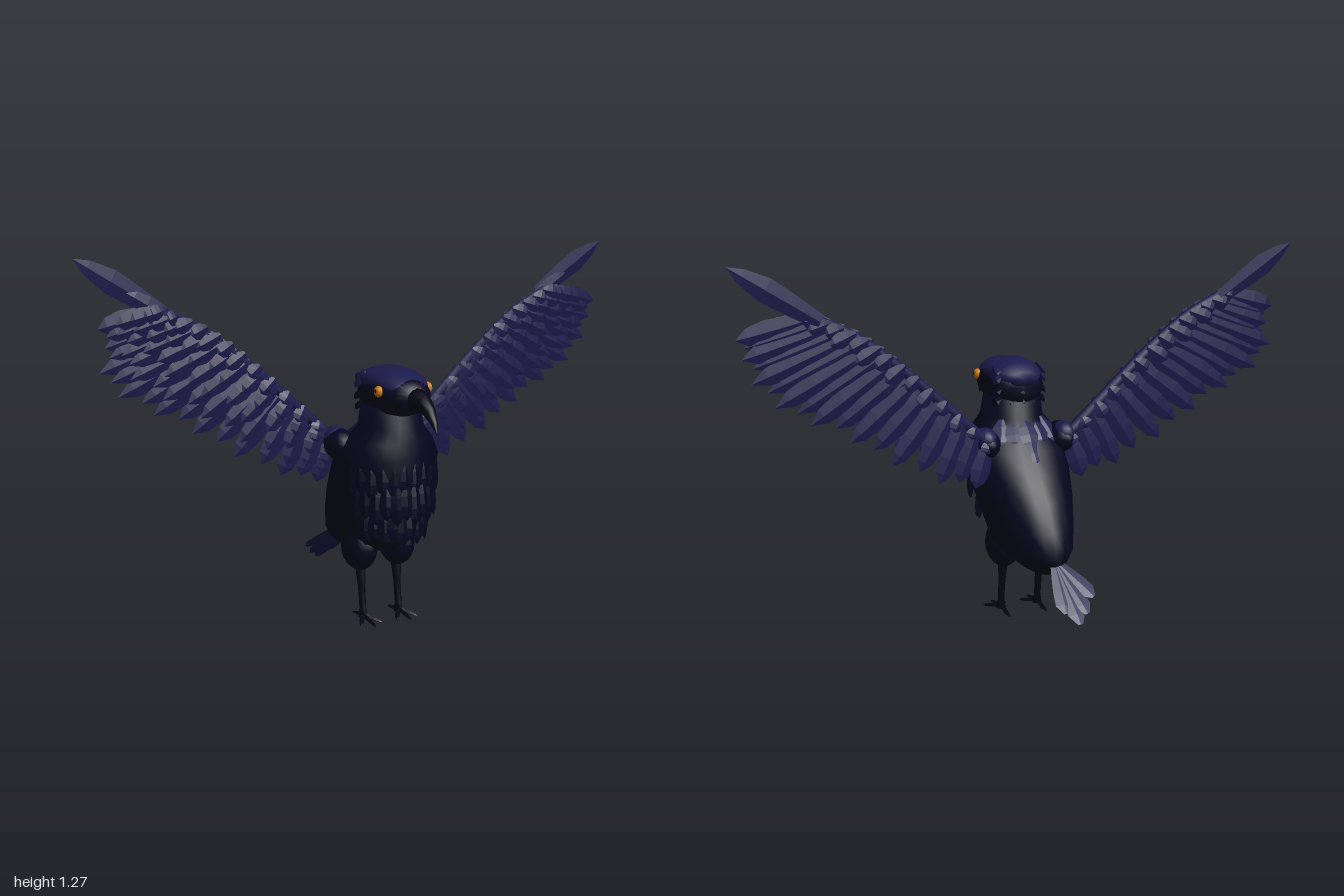
import * as THREE from 'three';
import { mergeGeometries } from 'three/addons/utils/BufferGeometryUtils.js';

const V = (x, y, z) => new THREE.Vector3(x, y, z);
const mat = (name, color) => {
  const m = new THREE.MeshStandardMaterial({ color });
  m.name = name;
  return m;
};

// Skin over elliptical rings [position, offset, halfWidth, halfDepth] along +z
function loft(rings, sides) {
  const pos = [], idx = [], n = rings.length;
  for (const [p, off, rx, ry] of rings)
    for (let j = 0; j < sides; j++) {
      const t = (j / sides) * Math.PI * 2;
      pos.push(rx * Math.cos(t), off + ry * Math.sin(t), p);
    }
  for (let i = 0; i < n - 1; i++)
    for (let j = 0; j < sides; j++) {
      const k = (j + 1) % sides, a = i * sides, b = a + sides;
      idx.push(a + j, a + k, b + j, a + k, b + k, b + j);
    }
  const first = pos.length / 3, e = (n - 1) * sides;
  for (const r of [rings[0], rings[n - 1]]) pos.push(0, r[1], r[0]);
  for (let j = 0; j < sides; j++) {
    const k = (j + 1) % sides;
    idx.push(first, k, j, first + 1, e + j, e + k);
  }
  const g = new THREE.BufferGeometry();
  g.setAttribute('position', new THREE.Float32BufferAttribute(pos, 3));
  g.setIndex(idx);
  g.computeVertexNormals();
  return g;
}

// Same, stacked upward; offset is then the z of the ring centre
const loftUp = (rings, sides) =>
  loft(rings.map(([p, o, a, b]) => [p, -o, a, b]), sides).rotateX(-Math.PI / 2);

function flat(g) {
  const f = g.toNonIndexed();
  f.computeVertexNormals();
  return f;
}

// Flat-faceted blade from a to b, thin along the normal
function blade(a, b, width, thick, normal = V(0, 0, 1), profile = [0.3, 0.8, 1, 0.75, 0.04]) {
  const dir = b.clone().sub(a), len = dir.length();
  dir.normalize();
  const x = normal.clone().cross(dir).normalize();
  const y = dir.clone().cross(x);
  const at = [0, 0.3, 0.6, 0.85, 1];
  const g = flat(loft(profile.map((w, i) => [at[i] * len, 0, (w * width) / 2, (w * thick) / 2]), 4));
  return g.applyMatrix4(new THREE.Matrix4().makeBasis(x, y, dir).setPosition(a));
}

export function createModel() {
  const bird = new THREE.Group();
  bird.name = 'bird';
  const body = mat('darkPlumage', 0x04041e);
  const feather = mat('blueFeather', 0x1b1b4b);
  const horn = mat('beakAndLegs', 0x040412);
  const amber = mat('amberEye', 0xc87a10);
  const black = mat('pupil', 0x040406);
  const add = (name, geo, m, parent = bird) => {
    const mesh = new THREE.Mesh(geo, m);
    mesh.name = name;
    parent.add(mesh);
  };
  const ellipsoid = (x, y, z, a, b, c) =>
    new THREE.SphereGeometry(1, 16, 12).scale(a, b, c).translate(x, y, z);

  // Torso and neck
  add('torso', loftUp([
    [0.215, -0.2, 0.04, 0.03], [0.235, -0.16, 0.075, 0.085], [0.255, -0.09, 0.1, 0.18],
    [0.29, -0.06, 0.125, 0.22], [0.36, -0.03, 0.142, 0.23], [0.45, 0.02, 0.162, 0.23],
    [0.53, 0.055, 0.173, 0.2], [0.6, 0.08, 0.178, 0.17], [0.65, 0.105, 0.15, 0.14],
    [0.7, 0.115, 0.108, 0.12], [0.77, 0.11, 0.098, 0.11]], 24), body);

  // Head, crown and beak
  add('head', loft([
    [0, 0.805, 0.06, 0.045], [0.04, 0.81, 0.088, 0.075], [0.12, 0.81, 0.098, 0.085],
    [0.2, 0.812, 0.096, 0.076], [0.26, 0.812, 0.07, 0.055], [0.295, 0.808, 0.042, 0.039]], 20), body);
  add('crown', loft([
    [-0.005, 0.84, 0.05, 0.025], [0.04, 0.847, 0.083, 0.043], [0.09, 0.851, 0.092, 0.048],
    [0.15, 0.852, 0.092, 0.047], [0.2, 0.847, 0.087, 0.044], [0.24, 0.84, 0.071, 0.036],
    [0.27, 0.833, 0.05, 0.027], [0.292, 0.826, 0.025, 0.018]], 20), feather);
  add('beak', loft([
    [0.265, 0.81, 0.046, 0.044], [0.3, 0.808, 0.037, 0.039], [0.345, 0.801, 0.027, 0.03],
    [0.385, 0.775, 0.018, 0.024], [0.41, 0.745, 0.01, 0.016], [0.422, 0.72, 0.002, 0.003]], 12), horn);

  // Ragged tufts at the back of the crown and nape
  for (const [name, m, rows] of [
    ['crownTufts', feather, [[0.865, -0.005, 5], [0.84, -0.01, 6]]],
    ['napeTufts', body, [[0.8, -0.012, 5], [0.765, -0.005, 5]]]]) {
    const tufts = [];
    for (const [y, z, n] of rows)
      for (let i = 0; i < n; i++) {
        const u = (i / (n - 1)) * 2 - 1;
        tufts.push(blade(V(u * 0.078, y + 0.012, 0.08), V(u * 0.085, y - 0.01, z + Math.abs(u) * 0.025),
          0.045, 0.02, V(u, 0.7, -0.3).normalize()));
      }
    add(name, mergeGeometries(tufts), m);
  }

  // Hanging breast feathers: [top y, tip y, arc centre z, rx, rz, half arc, count]
  const breast = [];
  for (const [top, tip, zc, rx, rz, arc, n] of [
    [0.6, 0.47, 0.07, 0.172, 0.182, 1.2, 12], [0.52, 0.385, 0.05, 0.165, 0.212, 1.1, 12],
    [0.43, 0.305, 0.02, 0.148, 0.212, 0.9, 10]])
    for (let i = 0; i < n; i++) {
      const t = ((i / (n - 1)) * 2 - 1) * arc, s = Math.sin(t), c = Math.cos(t);
      breast.push(blade(V(s * rx * 0.98, top, zc + c * rz * 0.96),
        V(s * rx, tip + (i % 2) * 0.018, zc + c * rz), 0.052, 0.02, V(s, 0, c)));
    }
  add('breastFeathers', mergeGeometries(breast), body);

  // Broad mantle feathers over the upper back
  const mantle = [];
  for (let row = 0; row < 2; row++)
    for (let i = -2; i <= 2; i++) {
      const x = i * 0.045, bend = Math.abs(i) * 0.012;
      mantle.push(blade(V(x * 0.8, 0.7 - row * 0.05, 0.0 - row * 0.035 + bend),
        V(x * 1.1, 0.62 - row * 0.06, -0.072 - row * 0.045 + bend * 1.6), 0.07, 0.018,
        V(x * 3, 0.6, -0.8).normalize()));
    }
  add('mantleFeathers', mergeGeometries(mantle), feather);

  // Tail fan, carried slightly to one side
  const tail = [[-0.1, 0.165, -0.355], [-0.06, 0.125, -0.395], [-0.025, 0.1, -0.418], [0.012, 0.13, -0.385]]
    .map((p) => blade(V(-0.005, 0.27, -0.24), V(...p), 0.06, 0.01, V(0, 0.7, -0.72), [0.4, 0.7, 0.95, 1, 0.3]));
  add('tail', mergeGeometries(tail), feather);

  for (const s of [1, -1]) {
    const side = s > 0 ? 'left' : 'right';

    // Eye
    const eye = new THREE.Group();
    eye.name = side + 'Eye';
    bird.add(eye);
    add('iris', ellipsoid(s * 0.092, 0.83, 0.2, 0.014, 0.019, 0.019), amber, eye);
    add('pupil', ellipsoid(s * 0.102, 0.832, 0.202, 0.005, 0.007, 0.007), black, eye);

    // Leg: thigh, shank, toes
    const leg = new THREE.Group();
    leg.name = side + 'Leg';
    bird.add(leg);
    add('thigh', ellipsoid(s * 0.073, 0.26, 0.02, 0.057, 0.082, 0.085), body, leg);
    add('shank', loftUp([[0.012, 0.045, 0.018, 0.018], [0.04, 0.043, 0.012, 0.013],
      [0.12, 0.033, 0.013, 0.014], [0.21, 0.022, 0.02, 0.024]], 8).translate(s * 0.07, 0, 0), horn, leg);
    const toes = [[0, 0.14], [-0.042, 0.11], [0.042, 0.11], [0, -0.037]].map(([x, z]) =>
      blade(V(s * 0.07, 0.021, 0.045), V(s * 0.07 + x, 0.004, z), 0.022, 0.016, V(0, 1, 0), [1, 0.8, 0.8, 0.55, 0.05]));
    add('toes', mergeGeometries(toes), horn, leg);

    // Wing: leading and trailing curves, feathers strung between them
    const wing = new THREE.Group();
    wing.name = side + 'Wing';
    bird.add(wing);
    const sweep = s > 0 ? 0.06 : 0.035, out = s > 0 ? 0.985 : 0.93;
    const curve = (pts) => new THREE.CatmullRomCurve3(
      pts.map(([x, y]) => V(s * x, y, -0.025 - sweep * x)));
    const lead = curve([[0.15, 0.64], [0.32, 0.8], [0.48, 0.94], [0.61, 1.035], [0.74, 1.1]]);
    const trail = curve([[0.2, 0.49], [0.35, 0.53], [0.54, 0.63], [0.69, 0.73], [0.83, 0.8],
      [0.93, 0.89], [out - 0.02, 0.98], [out, 1.05]]);
    add('shoulder', ellipsoid(s * 0.14, 0.625, 0.01, 0.05, 0.055, 0.075), body, wing);
    add('shoulderCap', ellipsoid(s * 0.145, 0.645, -0.01, 0.04, 0.04, 0.05), feather, wing);
    add('arm', new THREE.TubeGeometry(lead, 20, 0.018, 7), feather, wing);

    // Rows: [name, count, start fraction, end fraction, width, z offset]
    for (const [name, n, from, to, w, dz] of [
      ['flightFeathers', 17, 0, 1, 0.076, -0.018], ['greaterCoverts', 16, 0, 0.8, 0.066, 0],
      ['medianCoverts', 14, 0, 0.58, 0.064, 0.01], ['lesserCoverts', 14, -0.04, 0.36, 0.06, 0.018],
      ['marginalCoverts', 13, -0.07, 0.18, 0.055, 0.022], ['backCoverts', 14, -0.05, 0.22, 0.055, -0.026]]) {
      const parts = [];
      for (let i = 0; i < n; i++) {
        const t = i / (n - 1), a = lead.getPoint(t), b = trail.getPoint(t);
        const reach = to - (i % 2) * 0.07;
        const p = a.clone().lerp(b, from), q = a.clone().lerp(b, reach);
        p.z += dz * 0.6;
        q.z += dz + (i % 2) * 0.004;
        parts.push(blade(p, q, w, 0.014, V(s * 0.12, 0, 1).normalize()));
      }
      add(name, mergeGeometries(parts), feather, wing);
    }

    // Long outermost feathers
    const zt = -0.035 - sweep;
    add('wingTip', mergeGeometries([
      blade(V(s * 0.68, 1.06, zt + 0.012), V(s * 0.84, 1.16, zt + 0.01), 0.06, 0.014),
      blade(V(s * 0.72, 1.09, zt), V(s, 1.27, zt), 0.08, 0.014, V(0, 0, 1), [0.6, 0.85, 1, 0.6, 0.03])]), feather, wing);
  }
  return bird;
}
